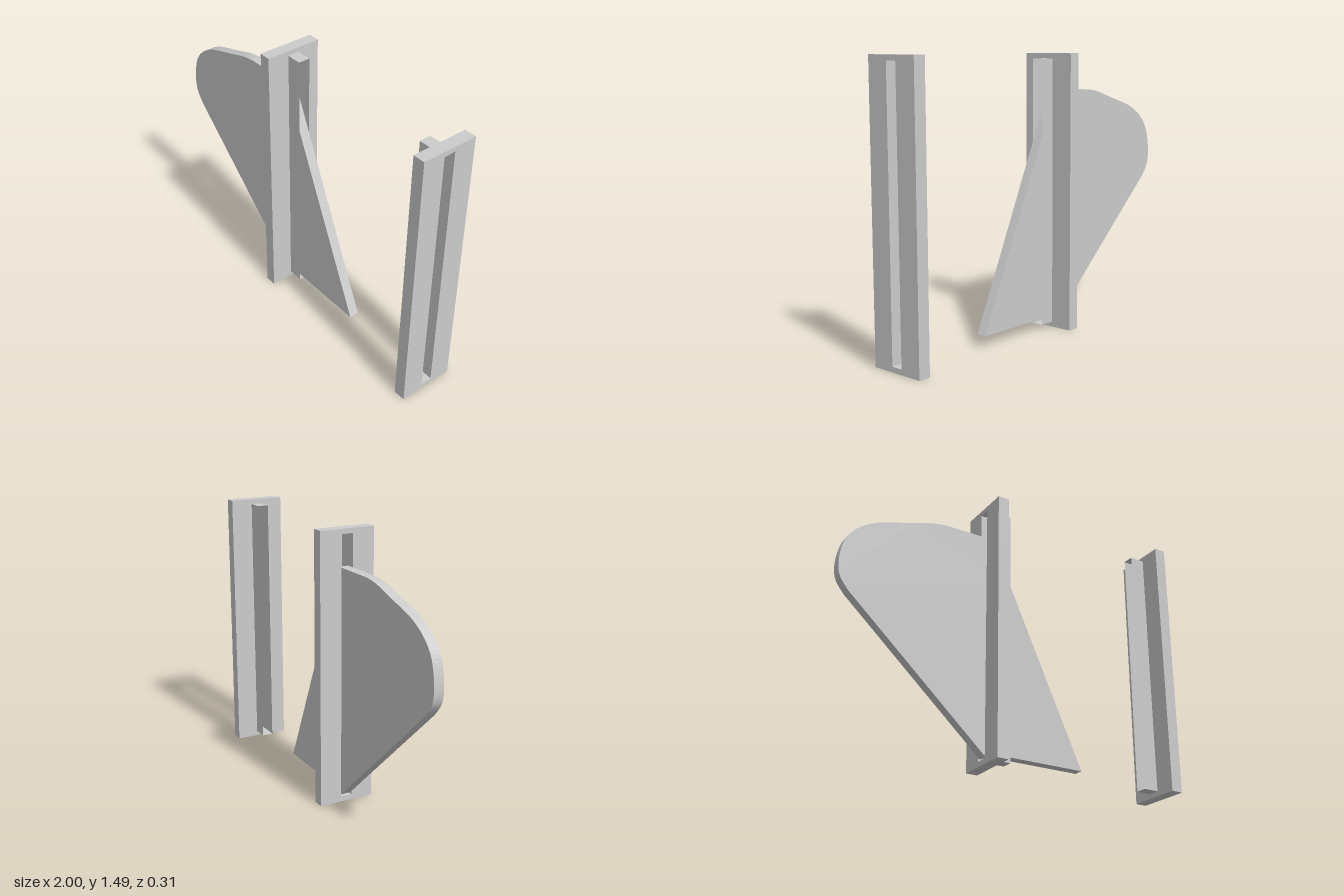
import * as THREE from 'three';

const HEIGHT = 1.49, HALF_DEPTH = 0.155;
const SLOT = { z: 0.032, y0: 0.028, y1: 1.463 };

const material = new THREE.MeshStandardMaterial({ color: 0xcccccc });
const thinMaterial = new THREE.MeshStandardMaterial({ color: 0xcccccc, side: THREE.DoubleSide });

function rectangle(PathType, halfWidth, y0, y1) {
  return new PathType([
    new THREE.Vector2(-halfWidth, y0), new THREE.Vector2(halfWidth, y0),
    new THREE.Vector2(halfWidth, y1), new THREE.Vector2(-halfWidth, y1),
  ]);
}

// Upright plate with a tall slot, spanning x0..x1
function slottedPlate(x0, x1) {
  const shape = rectangle(THREE.Shape, HALF_DEPTH, 0, HEIGHT);
  shape.holes.push(rectangle(THREE.Path, SLOT.z, SLOT.y0, SLOT.y1));
  const geometry = new THREE.ExtrudeGeometry(shape, { depth: x1 - x0, bevelEnabled: false });
  geometry.rotateY(Math.PI / 2).translate(x0, 0, 0);
  const mesh = new THREE.Mesh(geometry, material);
  mesh.name = 'slottedPlate';
  return mesh;
}

// Open-ended thin sleeve that continues the slot along x
function slotSleeve(x0, x1) {
  const sleeve = new THREE.Group();
  sleeve.name = 'slotSleeve';
  const length = x1 - x0, midX = (x0 + x1) / 2;
  const height = SLOT.y1 - SLOT.y0, midY = (SLOT.y0 + SLOT.y1) / 2;
  for (const side of [1, -1]) {
    const wall = new THREE.Mesh(new THREE.PlaneGeometry(length, height), thinMaterial);
    wall.name = 'sleeveSide';
    wall.position.set(midX, midY, side * SLOT.z);
    if (side < 0) wall.rotation.y = Math.PI;
    const cap = new THREE.Mesh(new THREE.PlaneGeometry(length, SLOT.z * 2), thinMaterial);
    cap.name = side > 0 ? 'sleeveTop' : 'sleeveBottom';
    cap.position.set(midX, midY + side * height / 2, 0);
    cap.rotation.x = -side * Math.PI / 2;
    sleeve.add(wall, cap);
  }
  return sleeve;
}

// Flat blade: rounded on one side, a straight-edged point on the other
function blade() {
  const thickness = 0.054;
  const shape = new THREE.Shape();
  shape.moveTo(-0.155, 0.04);
  shape.lineTo(-0.1, 0.06);
  shape.lineTo(0.43, 0.06);
  shape.lineTo(-0.01, 1.04);
  shape.lineTo(-0.122, 1.29);
  shape.lineTo(-0.39, 1.29);
  shape.splineThru([
    [-0.44, 1.286], [-0.51, 1.272], [-0.62, 1.238], [-0.74, 1.203], [-0.82, 1.174],
    [-0.9, 1.125], [-0.96, 1.06], [-0.99, 0.98], [-1, 0.89], [-0.987, 0.82], [-0.94, 0.755],
  ].map(([x, y]) => new THREE.Vector2(x, y)));
  shape.closePath();
  const geometry = new THREE.ExtrudeGeometry(shape, {
    depth: thickness, bevelEnabled: false, curveSegments: 4,
  });
  geometry.translate(0, 0, -thickness / 2);
  const mesh = new THREE.Mesh(geometry, material);
  mesh.name = 'blade';
  return mesh;
}

export function createModel() {
  const model = new THREE.Group();
  model.name = 'slottedGuidesWithBlade';

  // Guide that carries the blade
  const bladeGuide = new THREE.Group();
  bladeGuide.name = 'bladeGuide';
  bladeGuide.add(slottedPlate(-0.16, -0.096), slotSleeve(-0.096, -0.01));

  // Facing guide, with its sleeve turned toward the blade
  const facingGuide = new THREE.Group();
  facingGuide.name = 'facingGuide';
  facingGuide.add(slottedPlate(0.934, 1), slotSleeve(0.846, 0.934));

  model.add(bladeGuide, facingGuide, blade());
  return model;
}
